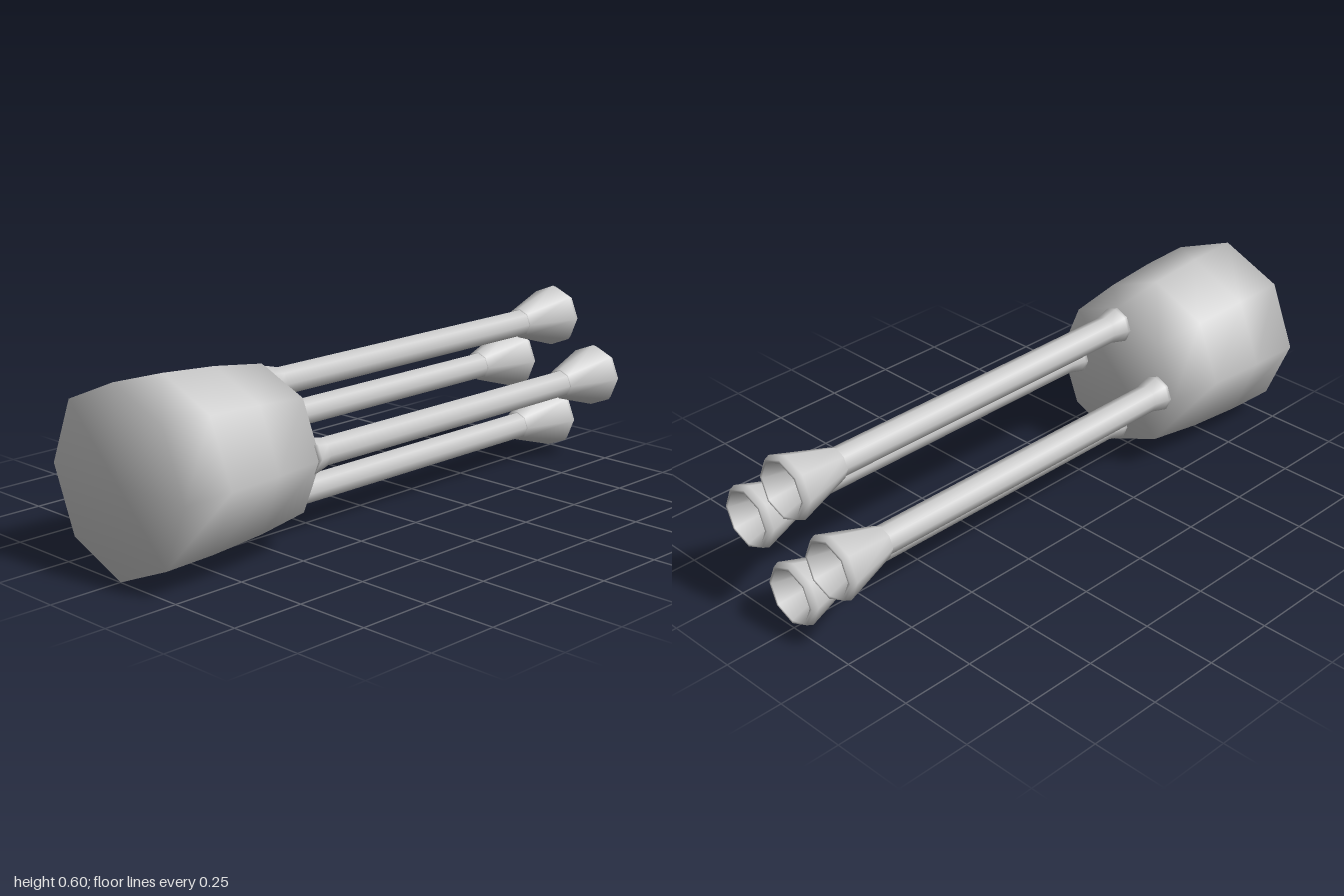
import * as THREE from 'three';

const SIDES = 8;
const CENTER_Y = 0.303;

// Smooth eight-sided solid turned around the x axis; profile is [x, radius] pairs
function turned(name, profile) {
  const points = profile.map(([x, r]) => new THREE.Vector2(r, x));
  const geometry = new THREE.LatheGeometry(points, SIDES);
  geometry.rotateZ(-Math.PI / 2);
  const mesh = new THREE.Mesh(geometry, new THREE.MeshStandardMaterial({ color: 0xcccccc }));
  mesh.name = name;
  return mesh;
}

export function createModel() {
  const model = new THREE.Group();
  model.name = 'fourTubeCluster';

  // Closed, gently tapering housing
  const housing = turned('housing', [
    [-1, 0], [-1, 0.302], [-0.82, 0.297], [-0.62, 0.282], [-0.43, 0.256], [-0.43, 0],
  ]);
  housing.position.y = CENTER_Y;
  model.add(housing);

  // Four tubes, each with a flared foot and a hollow flared muzzle
  for (let i = 0; i < 4; i++) {
    const angle = (i * Math.PI) / 2;
    const tube = new THREE.Group();
    tube.name = 'tube' + (i + 1);
    tube.add(
      turned('shaft', [
        [-0.44, 0], [-0.44, 0.064], [-0.42, 0.06], [-0.37, 0.047], [0.81, 0.047],
      ]),
      turned('muzzle', [
        [0.795, 0.04], [0.795, 0.052], [0.98, 0.108], [1, 0.1], [1, 0.09],
        [0.88, 0.05], [0.87, 0],
      ]),
    );
    tube.position.set(0, CENTER_Y + 0.188 * Math.cos(angle), 0.006 + 0.188 * Math.sin(angle));
    model.add(tube);
  }
  return model;
}
